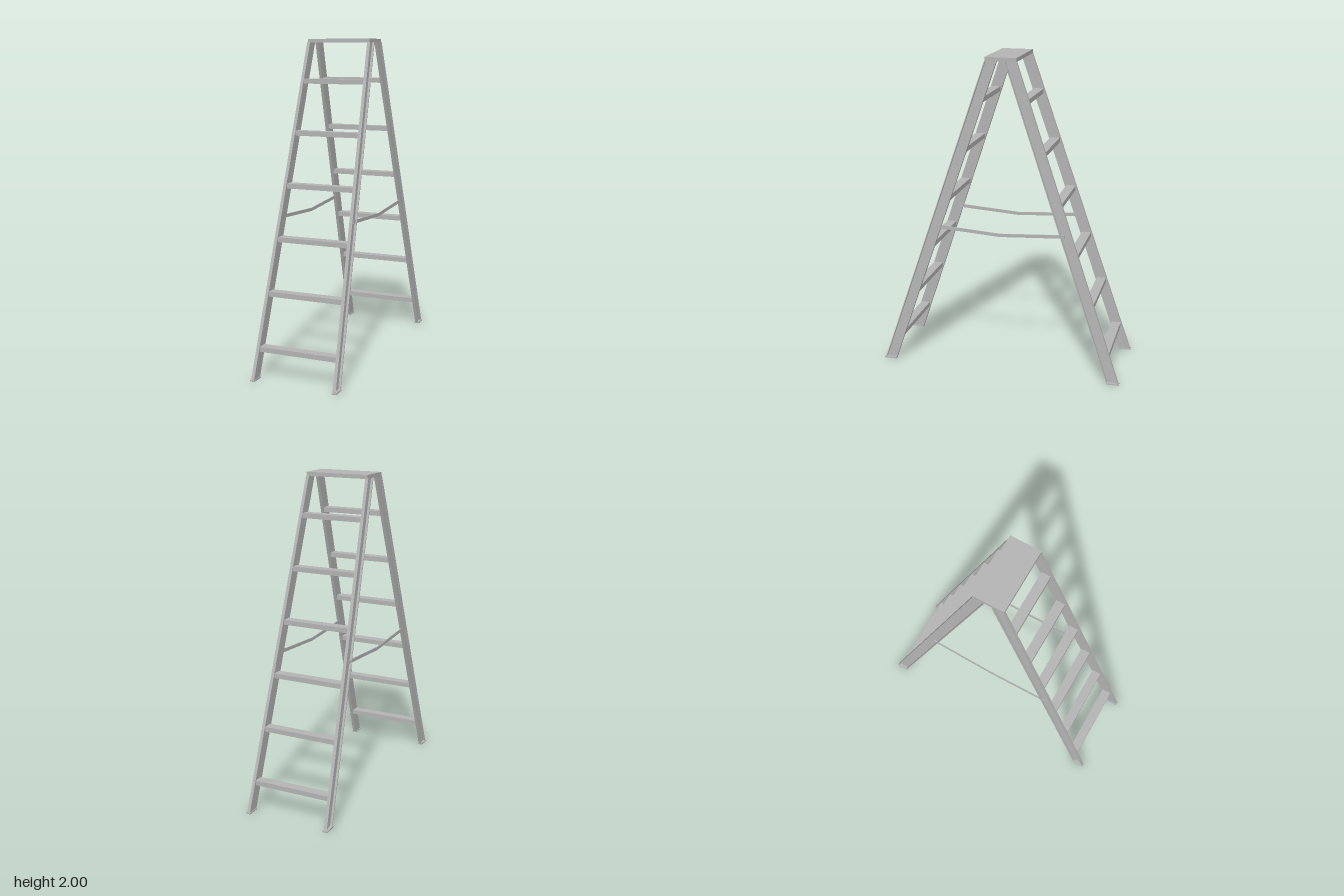
import * as THREE from 'three';

const LEAN_X = 0.032; // inward lean of the rails per unit of height
const LEAN_Z = 0.342; // lean of each ladder side towards the middle

export function createModel() {
  const metal = new THREE.MeshStandardMaterial({ color: 0xb4b4b4 });
  const model = new THREE.Group();
  model.name = 'stepladder';

  function box(name, w, h, d, x, y, z, parent) {
    const mesh = new THREE.Mesh(new THREE.BoxGeometry(w, h, d), metal);
    mesh.name = name;
    mesh.position.set(x, y, z);
    parent.add(mesh);
    return mesh;
  }

  // Upright bar whose floor section is given and which leans inwards as it rises
  function leaningBar(name, x0, x1, z0, z1, sx, sz, parent) {
    const height = 1.98;
    const geo = new THREE.BoxGeometry(x1 - x0, height, z1 - z0);
    geo.translate(sx * (x0 + x1) / 2, height / 2, sz * (z0 + z1) / 2);
    const p = geo.attributes.position;
    for (let i = 0; i < p.count; i++) {
      const y = p.getY(i);
      p.setX(i, p.getX(i) - sx * LEAN_X * y);
      p.setZ(i, p.getZ(i) - sz * LEAN_Z * y);
    }
    geo.computeVertexNormals();
    const mesh = new THREE.Mesh(geo, metal);
    mesh.name = name;
    parent.add(mesh);
  }

  for (const sz of [1, -1]) {
    const side = new THREE.Group();
    side.name = sz > 0 ? 'frontLadder' : 'backLadder';
    model.add(side);

    // Channel rails, open to the outside, with a flat foot
    for (const sx of [1, -1]) {
      const rail = new THREE.Group();
      rail.name = sx > 0 ? 'leftRail' : 'rightRail';
      side.add(rail);
      leaningBar('railWeb', 0.253, 0.259, 0.70, 0.775, sx, sz, rail);
      leaningBar('railInnerFlange', 0.253, 0.273, 0.70, 0.706, sx, sz, rail);
      leaningBar('railOuterFlange', 0.253, 0.273, 0.769, 0.775, sx, sz, rail);
      box('foot', 0.03, 0.008, 0.08, sx * 0.263, 0.004, sz * 0.738, rail);
    }

    // Treads
    for (let i = 0; i < 6; i++) {
      const y = 0.18 + i * 0.3125;
      const width = 2 * (0.255 - LEAN_X * y);
      box('tread', width, 0.03, 0.06, 0, y, sz * (0.7375 - LEAN_Z * y), side);
    }
  }

  // Top platform
  box('platform', 0.41, 0.024, 0.196, 0, 1.988, 0, model);

  // Folding spreader bars, slightly bent in the middle
  const bend = new THREE.Shape([
    [-0.41, 0.923], [0, 0.898], [0.41, 0.923],
    [0.41, 0.944], [0, 0.918], [-0.41, 0.944],
  ].map(([z, y]) => new THREE.Vector2(z, y)));
  for (const sx of [1, -1]) {
    const geo = new THREE.ExtrudeGeometry(bend, { depth: 0.006, bevelEnabled: false });
    geo.translate(0, 0, -0.003);
    geo.rotateY(Math.PI / 2);
    const bar = new THREE.Mesh(geo, metal);
    bar.name = sx > 0 ? 'leftSpreader' : 'rightSpreader';
    bar.position.x = sx * 0.233;
    model.add(bar);
  }

  metal.name = 'grey metal';
  return model;
}
